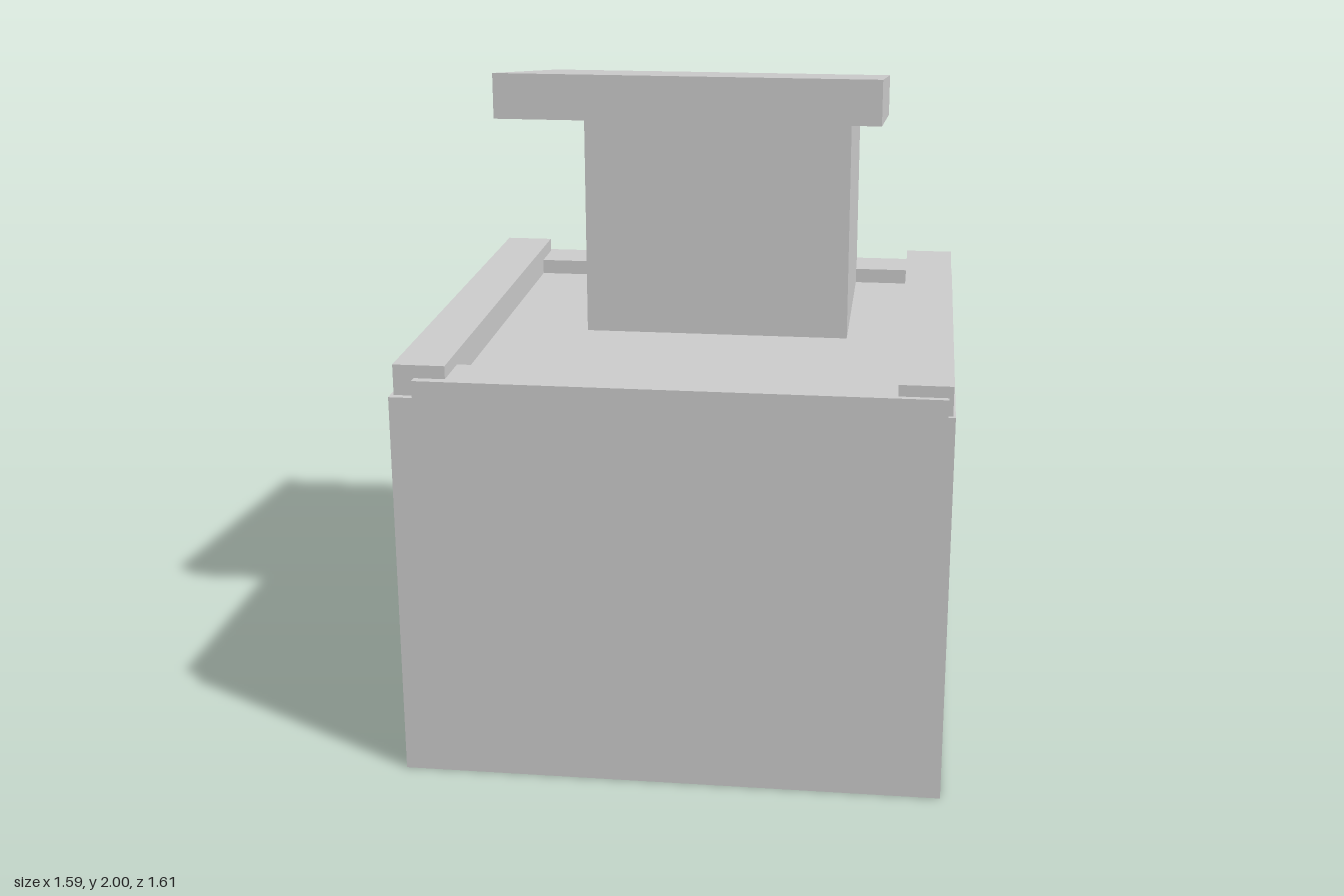
import * as THREE from 'three';

const material = new THREE.MeshStandardMaterial({ color: 0xcccccc, flatShading: true });

// Box given by its extents along each axis
function block(name, [x0, x1], [y0, y1], [z0, z1]) {
  const geometry = new THREE.BoxGeometry(x1 - x0, y1 - y0, z1 - z0);
  geometry.translate((x0 + x1) / 2, (y0 + y1) / 2, (z0 + z1) / 2);
  const mesh = new THREE.Mesh(geometry, material);
  mesh.name = name;
  return mesh;
}

export function createModel() {
  const model = new THREE.Group();
  model.name = 'building';

  // Main block with its flat roof
  model.add(block('mainBlock', [-0.795, 0.79], [0, 1.165], [-0.785, 0.8]));

  // Parapet: high side rails, lower front and back rails lapping over the walls
  const parapet = new THREE.Group();
  parapet.name = 'parapet';
  parapet.add(
    block('rightRail', [-0.785, -0.635], [1.14, 1.255], [-0.783, 0.778]),
    block('leftRail', [0.632, 0.783], [1.14, 1.25], [-0.775, 0.787]),
    block('frontRail', [-0.725, 0.77], [1.1, 1.217], [0.635, 0.806]),
    block('backRail', [-0.765, 0.73], [1.095, 1.212], [-0.806, -0.643])
  );
  model.add(parapet);

  // Rooftop hut; its top is buried in the sloping roof slab
  model.add(block('hut', [-0.355, 0.46], [1.15, 1.837], [-0.682, 0.058]));

  // Roof slab, sheared so it slopes down to the back with upright ends
  const slab = block('hutRoof', [-0.59, 0.555], [1.865, 2], [-0.745, 0.26]);
  const slope = 0.135 / 1.005;
  const p = slab.geometry.attributes.position;
  for (let i = 0; i < p.count; i++) p.setY(i, p.getY(i) + (p.getZ(i) - 0.26) * slope);
  slab.geometry.computeVertexNormals();
  model.add(slab);

  return model;
}
